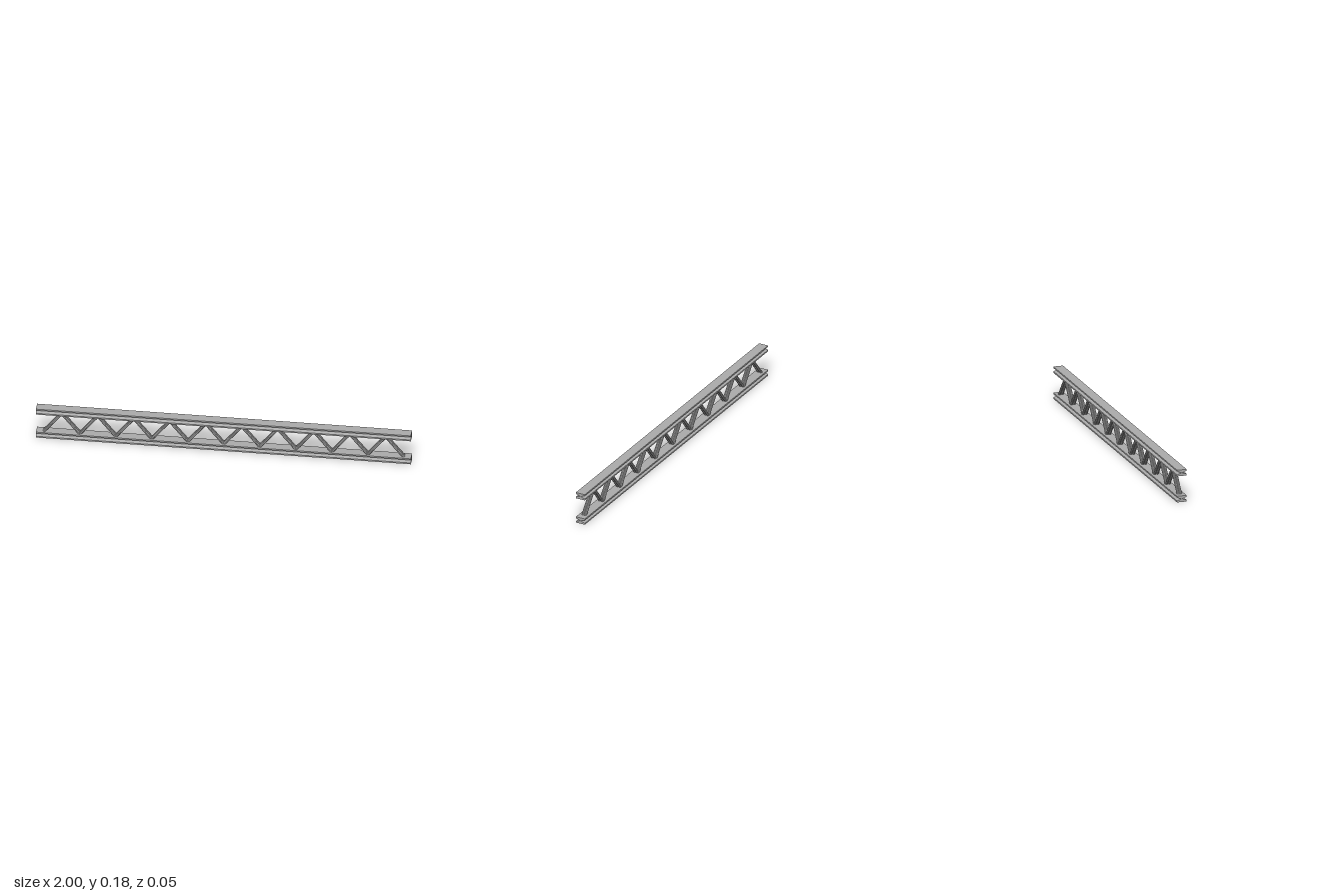
import * as THREE from 'three';

export function createModel() {
  const group = new THREE.Group();
  group.name = 'openWebJoist';
  const steel = new THREE.MeshStandardMaterial({ color: 0xaaaaaa, flatShading: true });
  steel.name = 'grey steel';

  const length = 2, halfWidth = 0.027, chordHeight = 0.034, lip = 0.008;
  const height = 0.178, pitch = 0.192, rodRadius = 0.0073;

  // Chord: flanges tapering to a narrow waist, running along x
  const waist = 0.001, mid = chordHeight / 2;
  const side = [[halfWidth, 0], [halfWidth, lip], [waist, mid],
    [halfWidth, chordHeight - lip], [halfWidth, chordHeight]];
  const mirrored = side.map(([z, y]) => [-z, y]).reverse();
  const profile = new THREE.Shape([...side, ...mirrored].map(([z, y]) => new THREE.Vector2(z, y)));
  const chordGeometry = new THREE.ExtrudeGeometry(profile, { depth: length, bevelEnabled: false });
  chordGeometry.translate(0, 0, -length / 2).rotateY(Math.PI / 2);

  for (const [name, y] of [['bottomChord', 0], ['topChord', height - chordHeight]]) {
    const chord = new THREE.Mesh(chordGeometry, steel);
    chord.name = name;
    chord.position.y = y;
    group.add(chord);
  }

  // Web: paired rods zigzagging between the chords
  const web = new THREE.Group();
  web.name = 'web';
  const low = chordHeight - 0.003, high = height - chordHeight + 0.004;
  const rise = high - low, run = pitch / 2;
  const rodGeometry = new THREE.CylinderGeometry(rodRadius, rodRadius, Math.hypot(rise, run), 8);
  rodGeometry.rotateY(Math.PI / 8);
  for (let i = 0; i < 20; i++) {
    const lean = i % 2 === 0 ? -1 : 1;
    for (const s of [-1, 1]) {
      const rod = new THREE.Mesh(rodGeometry, steel);
      rod.name = 'diagonalRod';
      rod.position.set((i - 9.5) * run, (low + high) / 2, s * rodRadius);
      rod.rotation.z = lean * Math.atan2(run, rise);
      web.add(rod);
    }
  }
  group.add(web);
  return group;
}
